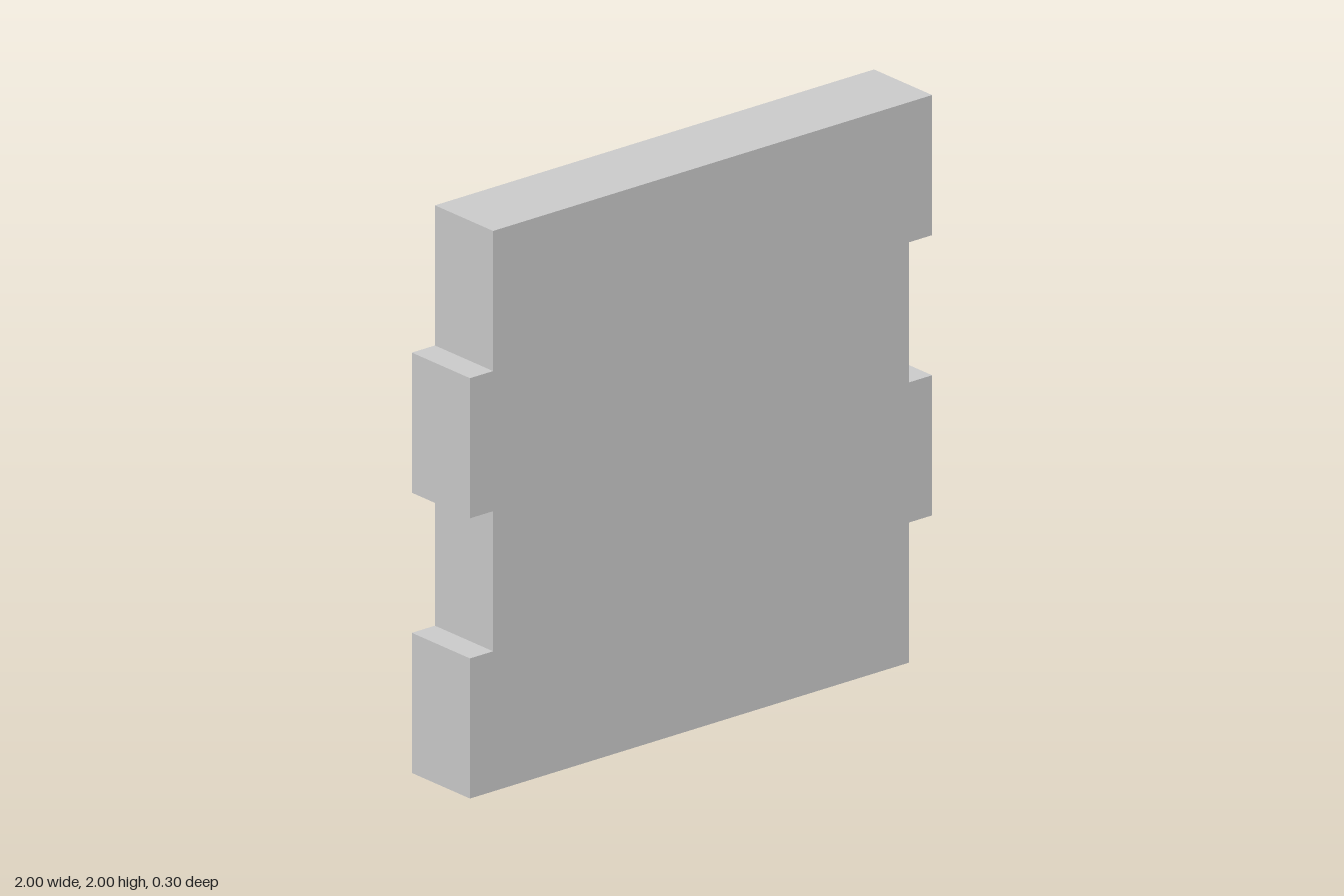
import * as THREE from 'three';

const COURSES = 4;      // stacked rows forming the toothed ends
const ROW = 0.5;        // row height
const WIDTH = 1.9;      // width of one row
const SHIFT = 0.05;     // sideways stagger of alternate rows
const DEPTH = 0.3;

export function createModel() {
  const group = new THREE.Group();

  // Stepped outline: up the +x end, then down the -x end
  const right = [], left = [];
  for (let i = 0; i < COURSES; i++) {
    const cx = i % 2 ? SHIFT : -SHIFT;
    for (const y of [i * ROW, (i + 1) * ROW]) {
      right.push(new THREE.Vector2(cx + WIDTH / 2, y));
      left.unshift(new THREE.Vector2(cx - WIDTH / 2, y));
    }
  }

  // Wall slab with interlocking ends
  const geometry = new THREE.ExtrudeGeometry(new THREE.Shape([...right, ...left]), {
    depth: DEPTH,
    bevelEnabled: false,
  });
  geometry.translate(0, 0, -DEPTH / 2);

  const wall = new THREE.Mesh(
    geometry,
    new THREE.MeshStandardMaterial({ color: 0xcccccc, flatShading: true }),
  );
  wall.name = 'wallPanel';
  group.add(wall);
  return group;
}
